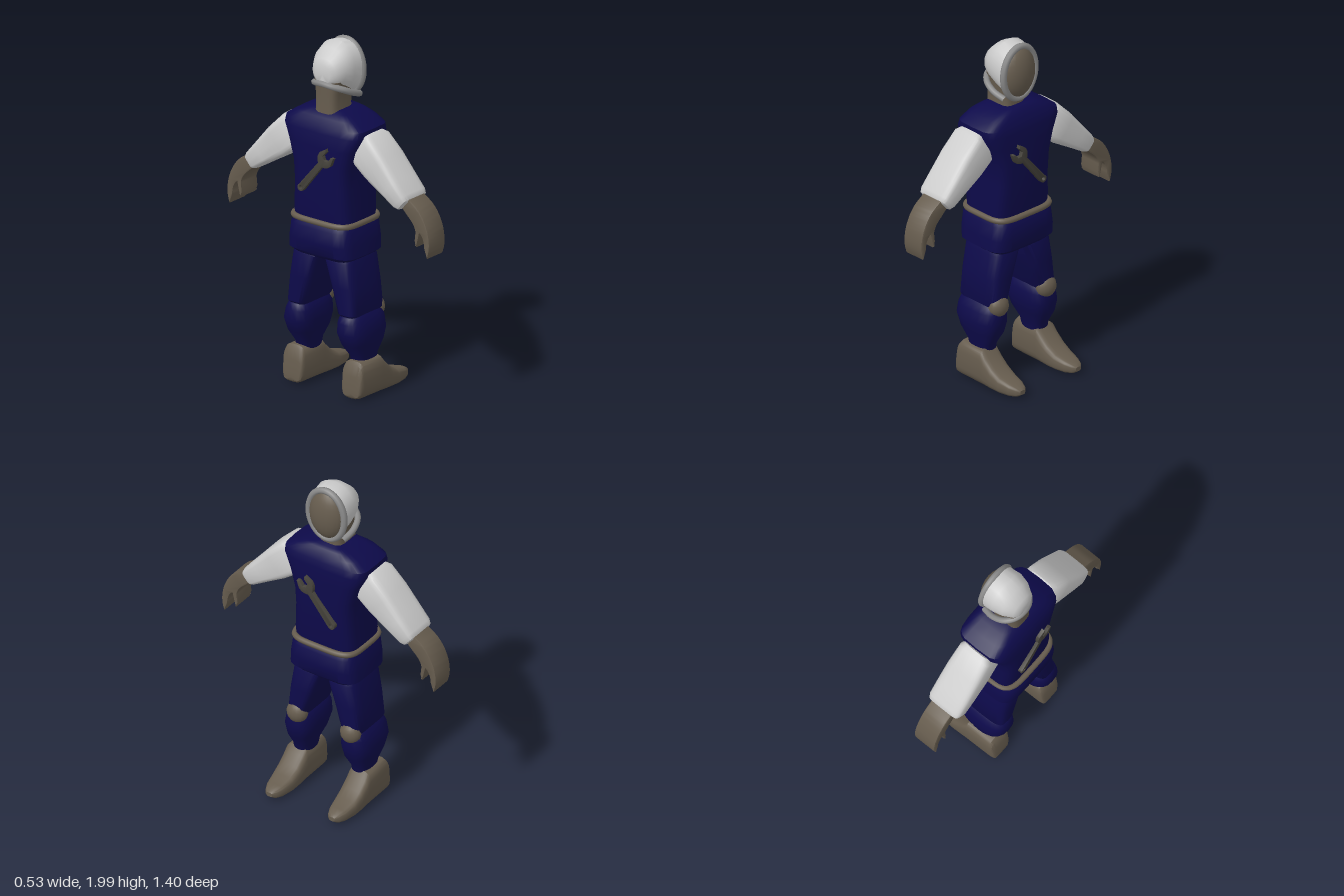
import * as THREE from 'three';
import { toCreasedNormals } from 'three/addons/utils/BufferGeometryUtils.js';

const V = (x, y, z) => new THREE.Vector3(x, y, z);
const mat = (color) => new THREE.MeshStandardMaterial({ color });
const NAVY = mat(0x0d0a4a), BROWN = mat(0x665c4e), WHITE = mat(0xdddddd);
const GREY = mat(0x8a8a8a), STEEL = mat(0x45423b);

// Superellipse ring around c, running from u towards v
function ring(c, u, v, power = 4, n = 24) {
  const e = (t) => Math.sign(t) * Math.abs(t) ** (2 / power);
  return Array.from({ length: n }, (_, i) => {
    const a = (i / n) * Math.PI * 2;
    return c.clone().addScaledVector(u, e(Math.cos(a))).addScaledVector(v, e(Math.sin(a)));
  });
}

// Skin through rings with capped ends
function loft(rings, crease = 0.7) {
  const n = rings[0].length, pos = [], idx = [];
  rings.forEach((r) => r.forEach((p) => pos.push(p.x, p.y, p.z)));
  for (let k = 0; k < rings.length - 1; k++) {
    for (let i = 0; i < n; i++) {
      const a = k * n + i, b = k * n + ((i + 1) % n);
      idx.push(a, b, b + n, a, b + n, a + n);
    }
  }
  [0, rings.length - 1].forEach((k, end) => {
    const c = rings[k].reduce((s, p) => s.add(p), V(0, 0, 0)).divideScalar(n);
    const ci = pos.length / 3;
    pos.push(c.x, c.y, c.z);
    for (let i = 0; i < n; i++) {
      const a = k * n + i, b = k * n + ((i + 1) % n);
      idx.push(...(end ? [ci, a, b] : [ci, b, a]));
    }
  });
  const g = new THREE.BufferGeometry();
  g.setAttribute('position', new THREE.Float32BufferAttribute(pos, 3));
  g.setIndex(idx);
  return toCreasedNormals(g, crease);
}

// Upright loft, rows: [y, centre x, half x, centre z, half z]
const column = (rows, power) => loft(rows.map(([y, cx, hx, cz, hz]) =>
  ring(V(cx, y, cz), V(0, 0, hz), V(hx, 0, 0), power)));

// Lengthwise loft, rows: [x, bottom y, top y, half z]
const along = (rows, cz, power) => loft(rows.map(([x, y0, y1, hz]) =>
  ring(V(x, (y0 + y1) / 2, cz), V(0, (y1 - y0) / 2, 0), V(0, 0, hz), power)));

// Side outline in (z, y), extruded between two x values
function slab(shape, x0, x1, bevel = 0.008) {
  const g = new THREE.ExtrudeGeometry(shape, {
    depth: x1 - x0 - 2 * bevel, bevelEnabled: bevel > 0, bevelSize: bevel, bevelThickness: bevel,
    bevelOffset: -bevel, bevelSegments: 2, curveSegments: 10,
  });
  g.rotateY(-Math.PI / 2).translate(x1 - bevel, 0, 0);
  return toCreasedNormals(g, 0.7);
}

const tube = (pts, r, closed, segments = 64) =>
  new THREE.TubeGeometry(new THREE.CatmullRomCurve3(pts, closed), segments, r, 8, closed);

function add(parent, name, geometry, material) {
  const m = new THREE.Mesh(geometry, material);
  m.name = name;
  parent.add(m);
  return m;
}

function wrenchShape() {
  const s = new THREE.Shape();
  s.moveTo(0.018, -0.05);
  s.quadraticCurveTo(0.05, -0.03, 0.05, 0.005);
  s.lineTo(0.034, 0.05);
  s.lineTo(0.02, 0.04);
  s.lineTo(0.02, 0.005);
  s.lineTo(0, -0.008);
  s.lineTo(-0.02, 0.005);
  s.lineTo(-0.02, 0.04);
  s.lineTo(-0.034, 0.05);
  s.lineTo(-0.05, 0.005);
  s.quadraticCurveTo(-0.05, -0.03, -0.018, -0.05);
  s.lineTo(-0.02, -0.255);
  s.absarc(0, -0.26, 0.022, Math.PI, Math.PI * 2, false);
  s.holes.push(new THREE.Path().absarc(0, -0.257, 0.01, 0, Math.PI * 2, true));
  return s;
}

// Arm and leg on the +z side
function limbs() {
  const g = new THREE.Group();

  const d = V(0, -0.65, 0.76), n = V(0, 0.76, 0.65);
  const sleeve = [[0, 0.085, 0.095], [0.03, 0.105, 0.105], [0.16, 0.11, 0.095], [0.3, 0.11, 0.07],
    [0.39, 0.108, 0.055], [0.415, 0.098, 0.046], [0.422, 0.08, 0.036]];
  add(g, 'sleeve', loft(sleeve.map(([t, hx, hn]) => ring(
    V(-0.075, 1.465, 0.215).addScaledVector(d, t), V(hx, 0, 0), n.clone().multiplyScalar(hn), 5))), WHITE);

  // Forearm, fingers and thumb in one outline
  const hand = new THREE.Shape();
  hand.moveTo(0.49, 1.19);
  hand.lineTo(0.55, 1.13);
  hand.quadraticCurveTo(0.6, 1.09, 0.604, 1.05);
  hand.lineTo(0.598, 1.0);
  hand.lineTo(0.61, 0.965);
  hand.quadraticCurveTo(0.622, 1.0, 0.632, 1.05);
  hand.quadraticCurveTo(0.662, 1.03, 0.665, 0.97);
  hand.lineTo(0.685, 0.915);
  hand.quadraticCurveTo(0.715, 0.98, 0.69, 1.07);
  hand.quadraticCurveTo(0.66, 1.16, 0.6, 1.2);
  hand.lineTo(0.54, 1.24);
  add(g, 'forearmAndHand', slab(hand, -0.14, 0), BROWN);

  add(g, 'thigh', column([
    [0.465, -0.075, 0.12, 0.175, 0.055], [0.49, -0.075, 0.144, 0.175, 0.066],
    [0.64, -0.075, 0.146, 0.145, 0.082], [0.78, -0.075, 0.145, 0.11, 0.096],
    [0.81, -0.075, 0.13, 0.11, 0.085]], 4), NAVY);
  add(g, 'lowerLeg', column([
    [0.19, -0.065, 0.075, 0.19, 0.05], [0.24, -0.067, 0.085, 0.19, 0.056],
    [0.31, -0.073, 0.132, 0.186, 0.08], [0.38, -0.078, 0.153, 0.184, 0.095],
    [0.44, -0.077, 0.15, 0.18, 0.086], [0.475, -0.075, 0.14, 0.178, 0.072],
    [0.49, -0.075, 0.12, 0.178, 0.06]], 2.8), NAVY);

  const knee = add(g, 'kneePad', new THREE.SphereGeometry(1, 16, 12), BROWN);
  knee.scale.set(0.05, 0.064, 0.063);
  knee.position.set(0.043, 0.478, 0.175);

  add(g, 'boot', along([
    [-0.2, 0.025, 0.06, 0.052], [-0.192, 0.015, 0.14, 0.064], [-0.18, 0.012, 0.205, 0.07],
    [-0.165, 0.011, 0.222, 0.072], [0, 0.01, 0.222, 0.074], [0.03, 0.01, 0.185, 0.074],
    [0.08, 0.01, 0.138, 0.073], [0.14, 0.011, 0.103, 0.069], [0.21, 0.014, 0.085, 0.055],
    [0.25, 0.022, 0.073, 0.037], [0.268, 0.035, 0.06, 0.018]], 0.205, 3.5), BROWN);
  return g;
}

export function createModel() {
  const model = new THREE.Group();
  model.name = 'workman';

  // Body
  add(model, 'torso', column([
    [0.98, -0.077, 0.15, 0, 0.195], [1.04, -0.077, 0.157, 0, 0.198], [1.2, -0.075, 0.165, 0, 0.188],
    [1.32, -0.075, 0.168, 0, 0.195], [1.43, -0.075, 0.167, 0, 0.23], [1.51, -0.073, 0.163, 0, 0.267],
    [1.55, -0.07, 0.152, 0, 0.265], [1.59, -0.068, 0.132, 0, 0.205], [1.615, -0.062, 0.108, 0, 0.14],
    [1.627, -0.055, 0.085, 0, 0.095]], 5), NAVY);
  add(model, 'hips', column([
    [0.79, -0.075, 0.15, 0, 0.19], [0.815, -0.076, 0.175, 0, 0.222], [0.88, -0.077, 0.182, 0, 0.217],
    [0.96, -0.077, 0.18, 0, 0.205], [0.99, -0.077, 0.16, 0, 0.19]], 5), NAVY);
  add(model, 'belt', tube(ring(V(-0.075, 0.998, 0), V(0, 0, 0.2), V(0.168, 0, 0), 4.5), 0.017, true, 96), BROWN);

  // Wrenches on chest and back
  const wrench = wrenchShape();
  [['chestWrench', 0.075, 0.115], ['backWrench', -0.262, -0.222]].forEach(([name, x0, x1]) => {
    const m = add(model, name, slab(wrench, x0, x1, 0.003), STEEL);
    m.position.set(0, 1.38, 0.075);
    m.rotation.x = 0.7;
  });

  // Head
  add(model, 'neck', column([
    [1.57, -0.09, 0.092, 0, 0.08], [1.64, -0.09, 0.09, 0, 0.072], [1.72, -0.09, 0.09, 0, 0.075],
    [1.79, -0.09, 0.09, 0, 0.085]], 4), BROWN);
  add(model, 'cap', along([
    [-0.187, 1.78, 1.885, 0.05], [-0.172, 1.765, 1.92, 0.08], [-0.12, 1.745, 1.968, 0.112],
    [-0.06, 1.715, 1.998, 0.125], [0.015, 1.68, 1.985, 0.122]], 0, 2.2), WHITE);
  const face = add(model, 'face', new THREE.SphereGeometry(1, 20, 14), BROWN);
  face.scale.set(0.07, 0.152, 0.112);
  face.position.set(0.007, 1.826, 0);
  add(model, 'faceRim', tube(ring(V(0.02, 1.826, 0), V(0, 0.153, 0), V(0, 0, 0.116), 2), 0.019, true), GREY);
  const half = [[0.01, 1.69, 0.1], [-0.06, 1.718, 0.115], [-0.13, 1.75, 0.1], [-0.172, 1.77, 0.055]];
  add(model, 'capBand', tube([
    ...half.map(([x, y, z]) => V(x, y, z)), V(-0.184, 1.778, 0),
    ...half.slice().reverse().map(([x, y, z]) => V(x, y, -z))], 0.018, false), GREY);

  // Limbs: built once, mirrored across z
  [['limbsRightSide', 1], ['limbsLeftSide', -1]].forEach(([name, side]) => {
    const g = limbs();
    g.name = name;
    g.scale.z = side;
    model.add(g);
  });
  return model;
}
